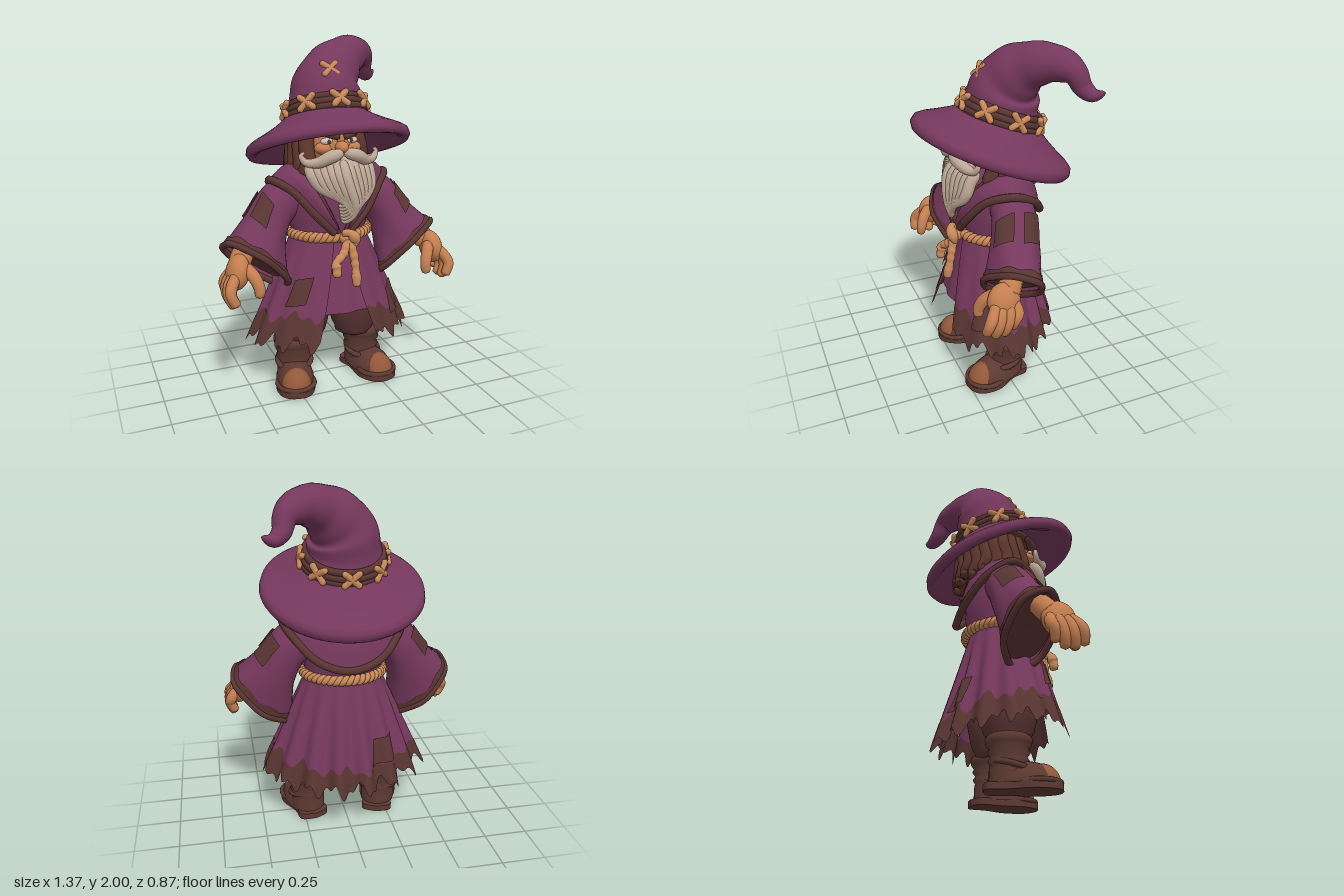
import * as THREE from 'three';
import { mergeVertices } from 'three/addons/utils/BufferGeometryUtils.js';
import { ParametricGeometry } from 'three/addons/geometries/ParametricGeometry.js';

const { sin, cos, PI, abs, sqrt } = Math;
const V = (x, y, z) => new THREE.Vector3(x, y, z);
const material = (name, color) => {
  const m = new THREE.MeshStandardMaterial({ color, side: THREE.DoubleSide });
  m.name = name;
  return m;
};

export function createModel() {
  const cloth = material('purple cloth', 0x76385d);
  const brown = material('brown cloth', 0x593532);
  const leather = material('boot leather', 0x5d3932);
  const toe = material('worn toe', 0x94583a);
  const skin = material('skin', 0xc57f50);
  const rope = material('rope', 0xca8a59);
  const cream = material('beard', 0xc0aa97);
  const hairMat = material('hair', 0x5f382f);
  const eyeMat = material('eye', 0xd0c4ba);
  const root = new THREE.Group();

  const add = (name, geo, mat, parent = root) => {
    const m = new THREE.Mesh(geo, mat);
    m.name = name;
    parent.add(m);
    return m;
  };
  const smooth = (geo) => {
    geo.deleteAttribute('uv');
    geo.deleteAttribute('normal');
    const g = mergeVertices(geo, 1e-5);
    g.computeVertexNormals();
    return g;
  };
  const surface = (fn, nu, nv) => smooth(new ParametricGeometry((u, v, t) => t.copy(fn(u, v)), nu, nv));
  const curve = (pts) => new THREE.CatmullRomCurve3(pts.map((p) => V(p[0], p[1], p[2])));
  // Round tube through [x, y, z, radius] points, with rounded ends
  const sweep = (pts, seg = 20, sides = 10, wrinkle = 0, capStart = true) => {
    const path = curve(pts), radii = curve(pts.map((p) => [p[3], 0, 0]));
    const geo = new THREE.TubeGeometry(path, seg, 1, sides), pos = geo.attributes.position;
    const p = V(), c = V();
    for (let i = 0; i <= seg; i++) {
      const u = i / seg;
      path.getPointAt(u, c);
      let r = radii.getPoint(path.getUtoTmapping(u)).x * (1 + wrinkle * sin(u * 38));
      const e = Math.min(capStart ? u : 1, 1 - u) / 0.1;
      if (e < 1) r *= sqrt(Math.max(0, 1 - (1 - e) ** 2)) + 0.001;
      for (let j = 0; j <= sides; j++) {
        const k = i * (sides + 1) + j;
        p.fromBufferAttribute(pos, k).sub(c).multiplyScalar(r).add(c);
        pos.setXYZ(k, p.x, p.y, p.z);
      }
    }
    return smooth(geo);
  };
  const mirror = (pts, s) => pts.map((p) => [p[0] * s, ...p.slice(1)]);
  const ball = (name, mat, x, y, z, a, b, c) => {
    const m = add(name, new THREE.SphereGeometry(1, 24, 16), mat);
    m.position.set(x, y, z);
    m.scale.set(a, b, c);
    return m;
  };
  const lathe = (pts, n = 40) => new THREE.LatheGeometry(pts.map((p) => new THREE.Vector2(p[0], p[1])), n);

  // Hat: tilted brim, bent crown, band with crossed stitches
  const hat = new THREE.Group();
  hat.name = 'hat';
  hat.position.set(0, 1.41, 0);
  hat.rotation.x = -0.36;
  root.add(hat);
  add('brim', lathe([[0.18, 0.13], [0.27, 0.08], [0.36, 0.015], [0.42, -0.03], [0.45, -0.035], [0.465, -0.01],
    [0.457, 0.022], [0.43, 0.042], [0.36, 0.078], [0.29, 0.118], [0.24, 0.155], [0.2, 0.18]], 64), cloth, hat);
  add('crown', sweep([[0.005, 1.55, -0.03, 0.23], [0.008, 1.66, -0.058, 0.208], [0.035, 1.765, -0.085, 0.18],
    [0.11, 1.845, -0.13, 0.143], [0.2, 1.89, -0.19, 0.111], [0.285, 1.895, -0.26, 0.09], [0.345, 1.86, -0.31, 0.066],
    [0.37, 1.79, -0.345, 0.05], [0.415, 1.76, -0.38, 0.037], [0.475, 1.785, -0.415, 0.019]], 60, 32, 0.025, false), cloth);
  const band = new THREE.Group();
  band.name = 'band';
  band.position.set(0.005, 0, 0.014);
  hat.add(band);
  for (const [h, r] of [[0.165, 0.224], [0.195, 0.222], [0.225, 0.212]]) {
    const ring = add('hatBand', new THREE.TorusGeometry(r, 0.02, 10, 56), brown, band);
    ring.rotation.x = PI / 2;
    ring.position.y = h;
  }
  const cross = (parent, size) => {
    for (const s of [-1, 1]) {
      const m = add('crossStitch', new THREE.CapsuleGeometry(0.018, size, 4, 8), rope, parent);
      m.rotation.z = s * 0.85;
    }
  };
  for (let i = 0; i < 8; i++) {
    const a = i * PI / 4, g = new THREE.Group();
    g.position.set(sin(a) * 0.239, 0.2, cos(a) * 0.239);
    g.rotation.set(-0.15, a, 0, 'YXZ');
    band.add(g);
    cross(g, 0.1);
  }
  const crownStitch = new THREE.Group();
  crownStitch.position.set(-0.012, 1.83, 0.064);
  crownStitch.rotation.x = -0.6;
  root.add(crownStitch);
  cross(crownStitch, 0.095);

  // Head and face
  ball('head', skin, 0, 1.42, 0.035, 0.14, 0.15, 0.155);
  ball('nose', skin, 0, 1.425, 0.205, 0.036, 0.034, 0.045);
  ball('noseBridge', skin, 0, 1.465, 0.185, 0.02, 0.045, 0.022);
  ball('backHair', hairMat, 0, 1.4, -0.06, 0.185, 0.17, 0.17);
  ball('foreheadHair', hairMat, 0, 1.565, 0.035, 0.16, 0.055, 0.15);
  for (const s of [-1, 1]) {
    ball('cheek', skin, s * 0.085, 1.415, 0.145, 0.05, 0.033, 0.045);
    ball('eye', eyeMat, s * 0.072, 1.456, 0.165, 0.036, 0.019, 0.018);
    ball('pupil', hairMat, s * 0.065, 1.456, 0.182, 0.009, 0.012, 0.004);
    add('brow', sweep(mirror([[0.012, 1.475, 0.205, 0.016], [0.07, 1.505, 0.185, 0.028], [0.145, 1.53, 0.13, 0.014]], s)), hairMat);
    add('moustache', sweep(mirror([[0.0, 1.4, 0.225, 0.024], [0.07, 1.385, 0.235, 0.036], [0.14, 1.35, 0.205, 0.03],
      [0.2, 1.352, 0.175, 0.02], [0.22, 1.39, 0.165, 0.013], [0.195, 1.405, 0.17, 0.008]], s), 28), cream);
  }
  for (let i = 0; i <= 16; i++) {
    const a = 1.0 + (i / 16) * (2 * PI - 2.0), w = i % 2 ? 0.025 : 0;
    const ring = (r, y, t, d = 0) => [sin(a + d) * r * 0.96, y, cos(a + d) * r - 0.03, t];
    add('hairLock', sweep([ring(0.165, 1.52, 0.04), ring(0.195, 1.42, 0.046), ring(0.207, 1.33 - w, 0.045, 0.1),
      ring(0.225, 1.26 - w, 0.032, -0.03), ring(0.245, 1.25 - w, 0.013, 0.15)], 16, 8), hairMat);
  }

  // Beard: a core with wavy strands that gather to one side, then curl at the tip
  ball('beardCore', cream, 0.01, 1.26, 0.18, 0.135, 0.12, 0.075);
  for (let i = -5; i <= 5; i++) {
    const k = abs(i), x = i * 0.033;
    add('beardStrand', sweep([[x * 1.05, 1.36 - k * 0.004, 0.2 - k * 0.011, 0.026], [x * 1.02, 1.28, 0.255 - k * 0.013, 0.035],
      [x * 0.9 + 0.02, 1.2 + k * 0.004, 0.272 - k * 0.012, 0.034], [x * 0.55 + 0.048, 1.12 + k * 0.009, 0.275 - k * 0.008, 0.029],
      [x * 0.25 + 0.045, 1.06 + k * 0.014, 0.262, 0.022], [x * 0.14 + 0.0, 1.02 + k * 0.018, 0.245, 0.015],
      [x * 0.1 - 0.025, 1.035 + k * 0.016, 0.24, 0.007]], 28, 8), cream);
  }

  // Robe body and shoulder cape
  const torso = add('torso', lathe([[0.215, 0.86], [0.22, 0.93], [0.24, 1.0], [0.245, 1.1], [0.23, 1.2], [0.18, 1.28], [0.1, 1.33]]), cloth);
  torso.scale.z = 0.82;
  const both = (half) => curve([...mirror(half, -1).reverse(), ...half.slice(1)]);
  const hemLine = both([[0, 1.0, -0.25], [0.17, 1.05, -0.225], [0.3, 1.17, -0.12], [0.345, 1.235, 0.01],
    [0.26, 1.19, 0.13], [0.15, 1.06, 0.2], [0.045, 0.95, 0.215]]);
  const neckLine = both([[0, 1.31, -0.13], [0.08, 1.32, -0.12], [0.14, 1.33, -0.05], [0.17, 1.31, 0.03],
    [0.145, 1.23, 0.13], [0.09, 1.1, 0.205], [0.02, 0.95, 0.215]]);
  add('cape', surface((u, v) => {
    const p = hemLine.getPoint(u).lerp(neckLine.getPoint(u), v);
    p.y += 0.035 * sin(PI * v);
    p.z += 0.025 * sin(PI * v) * (p.z > 0 ? 1 : -1) * Math.min(1, abs(p.z) * 8);
    return p;
  }, 72, 10), cloth);
  add('capeTrim', new THREE.TubeGeometry(hemLine, 90, 0.023, 8), brown);
  add('collarTrim', new THREE.TubeGeometry(neckLine, 90, 0.014, 8), brown);

  // Pleated coat skirt: a is the angle from the front, off lifts the point outward
  const skirt = (a, y, off = 0) => {
    const t = (0.92 - y) / 0.6, c = cos(a);
    const fold = 0.024 * t * cos(15 * a) * (0.75 - 0.45 * c) + off;
    const rz = c > 0 ? 0.19 + 0.155 * t : 0.175 + 0.155 * t;
    return V(sin(a) * (0.215 + 0.265 * t + fold) * (1 + 0.2 * t * Math.min(0, c)), y, c * (rz + fold));
  };
  const hem = (a) => 0.315 + 0.025 * cos(a) + 0.03 * sin(14 * a) + 0.022 * sin(31 * a + 1);
  const seam = (a) => 0.442 + 0.045 * cos(a) + 0.022 * sin(9 * a) + 0.018 * sin(23 * a + 1);
  const panel = (low, high, off) => surface((u, v) => {
    let a = u * 2 * PI;
    const y = low(a) + (high(a) - low(a)) * v, s = 0.17 + 0.36 * (0.92 - y);
    a = s + u * (2 * PI - 2 * s);
    return skirt(a, y, off);
  }, 220, 12);
  add('coatSkirt', panel(seam, () => 0.93, 0), cloth);
  add('tatteredHem', panel(hem, (a) => seam(a) + 0.004, 0.002), brown);
  add('innerTunic', surface((u, v) => skirt((u - 0.5) * 1.3, 0.49 + 0.42 * v, -0.025), 24, 8), cloth);
  // Sewn patches: angle, height, half angle, half height
  for (const [a, y, da, dy] of [[-0.76, 0.625, 0.17, 0.075], [0.95, 0.515, 0.19, 0.075], [-2.6, 0.5, 0.19, 0.075]]) {
    add('skirtPatch', surface((u, v) => skirt(a + (u * 2 - 1) * da + (v - 0.5) * 0.08, y + (v * 2 - 1) * dy + (u - 0.5) * 0.02, 0.016), 16, 8), brown);
  }

  // Rope belt with knot and two tails
  for (const k of [0, PI]) {
    const pts = [];
    for (let i = 0; i < 180; i++) {
      const a = i / 180 * 2 * PI, w = a * 22 + k, r = 0.014 * cos(w);
      pts.push(V(sin(a) * (0.23 + r), 0.92 + 0.014 * sin(w), cos(a) * (0.197 + r) + 0.005));
    }
    add('ropeBelt', new THREE.TubeGeometry(new THREE.CatmullRomCurve3(pts, true), 400, 0.018, 6, true), rope);
  }
  ball('knot', rope, 0.03, 0.92, 0.225, 0.05, 0.045, 0.035);
  add('knotLoop', sweep([[-0.01, 0.95, 0.23, 0.02], [0.03, 0.955, 0.262, 0.022], [0.065, 0.9, 0.255, 0.022], [0.03, 0.87, 0.24, 0.02]]), rope);
  for (const [x, y] of [[-0.065, 0.72], [0.055, 0.65]]) {
    add('ropeTail', sweep([[0.025, 0.92, 0.235, 0.024], [0.02 + x * 0.5, 0.84, 0.262, 0.026], [x, y + 0.08, 0.285, 0.024],
      [x, y + 0.06, 0.29, 0.032], [x, y + 0.035, 0.295, 0.025], [x, y, 0.3, 0.034]], 40, 8, 0.08), rope);
  }

  // Bell sleeves, hands, legs and boots, mirrored
  const centre = curve([[0.15, 1.17, -0.02], [0.3, 1.09, -0.005], [0.385, 0.95, 0.025], [0.46, 0.775, 0.07]]);
  const major = curve([[0.05, 0.1, 0.1], [0.065, 0.11, 0.125], [0.1, 0.105, 0.135], [0.17, 0.14, 0.145]]);
  const footShape = new THREE.Shape();
  footShape.setFromPoints(new THREE.SplineCurve([[0, -0.13], [0.085, -0.1], [0.085, 0], [0.115, 0.13], [0.08, 0.24], [0, 0.27],
    [-0.08, 0.24], [-0.115, 0.13], [-0.085, 0], [-0.085, -0.1], [0, -0.13]].map((p) => new THREE.Vector2(p[0], -p[1]))).getPoints(50));
  for (const s of [-1, 1]) {
    const side = s > 0 ? 'left' : 'right';
    // The cuff leans so that its opening faces forward
    const sleeve = (a, v, off = 0) => {
      const c = centre.getPoint(v), m = major.getPoint(v), f = 1 + off / 0.14 + 0.025 * v * sin(6 * a + 5 * v);
      const lean = 0.07 * v * v * sin(a) * f;
      return V(s * (c.x + m.x * cos(a) * f - lean * 0.4), c.y + m.y * cos(a) * f + lean * 0.85, c.z + m.z * sin(a) * f);
    };
    add(side + 'Sleeve', surface((u, v) => sleeve(u * 2 * PI, v), 40, 24), cloth);
    add(side + 'CuffBand', surface((u, v) => sleeve(u * 2 * PI, 0.92 + 0.08 * v + 0.012 * (1 - v) * sin(u * 16 * PI), 0.007), 48, 4), brown);
    const edge = Array.from({ length: 40 }, (_, i) => sleeve(i / 20 * PI, 1));
    add(side + 'CuffTrim', new THREE.TubeGeometry(new THREE.CatmullRomCurve3(edge, true), 80, 0.019, 8, true), brown);
    add(side + 'SleeveLining', surface((u, v) => sleeve(u * 2 * PI, 0.95, -0.006 - 0.134 * v), 40, 3), brown);
    for (const a0 of [0.25, -0.95]) {
      add('sleevePatch', surface((u, v) => sleeve(a0 + u * 0.85 + v * 0.1, 0.41 + v * 0.27 + u * 0.02, 0.012), 10, 6), brown);
    }
    const limb = (name, pts) => add(side + name, sweep(mirror(pts, s)), skin);
    limb('Forearm', [[0.42, 0.96, 0.04, 0.05], [0.52, 0.89, 0.095, 0.06], [0.58, 0.8, 0.15, 0.065]]);
    const palm = ball(side + 'Palm', skin, s * 0.59, 0.785, 0.175, 0.062, 0.1, 0.09);
    palm.rotation.z = s * 0.2;
    for (let i = 0; i < 4; i++) {
      const z = 0.11 + i * 0.048, low = [0.03, 0.0, 0.0, 0.025][i];
      limb('Finger', [[0.605, 0.79, 0.13 + i * 0.03, 0.03], [0.648, 0.73, z + 0.01, 0.032],
        [0.655, 0.675 + low, z + 0.025, 0.03], [0.625, 0.605 + low, z + 0.035, 0.026]]);
    }
    limb('Thumb', [[0.56, 0.82, 0.2, 0.036], [0.52, 0.77, 0.255, 0.035], [0.5, 0.71, 0.28, 0.031], [0.505, 0.66, 0.285, 0.024]]);

    const trouser = add(side + 'Trouser', lathe([[0.09, 0.25], [0.115, 0.265], [0.115, 0.285], [0.135, 0.32], [0.15, 0.38],
      [0.165, 0.46], [0.165, 0.56], [0.13, 0.7]]), brown);
    trouser.position.set(s * 0.165, 0, 0.01);
    const boot = new THREE.Group();
    boot.name = side + 'Boot';
    boot.position.set(s * 0.22, 0, 0);
    boot.rotation.y = s * 0.26;
    root.add(boot);
    add('bootShaft', lathe([[0.1, 0.03], [0.1, 0.1], [0.095, 0.13], [0.106, 0.15], [0.093, 0.172], [0.11, 0.195],
      [0.1, 0.21], [0.118, 0.235], [0.122, 0.262], [0.11, 0.28], [0.06, 0.285]]), leather, boot);
    const dome = (name, mat, z, a, b, c) => {
      const m = add(name, new THREE.SphereGeometry(1, 28, 12, 0, 2 * PI, 0, PI / 2), mat, boot);
      m.position.set(0, 0.03, z);
      m.scale.set(a, b, c);
    };
    dome('bootFoot', leather, 0.08, 0.112, 0.12, 0.18);
    dome('bootToe', toe, 0.165, 0.09, 0.108, 0.095);
    const sole = add('sole', new THREE.ExtrudeGeometry(footShape, { depth: 0.036, bevelEnabled: false }), leather, boot);
    sole.rotation.x = -PI / 2;
    const welt = add('toeWelt', new THREE.TorusGeometry(0.108, 0.014, 8, 32), leather, boot);
    welt.rotation.x = PI / 2;
    welt.position.set(0, 0.042, 0.15);
    const strap = add('bootStrap', new THREE.TorusGeometry(0.1, 0.016, 8, 32), leather, boot);
    strap.rotation.x = PI / 2 + 0.25;
    strap.position.set(0, 0.125, 0.015);
  }
  return root;
}
